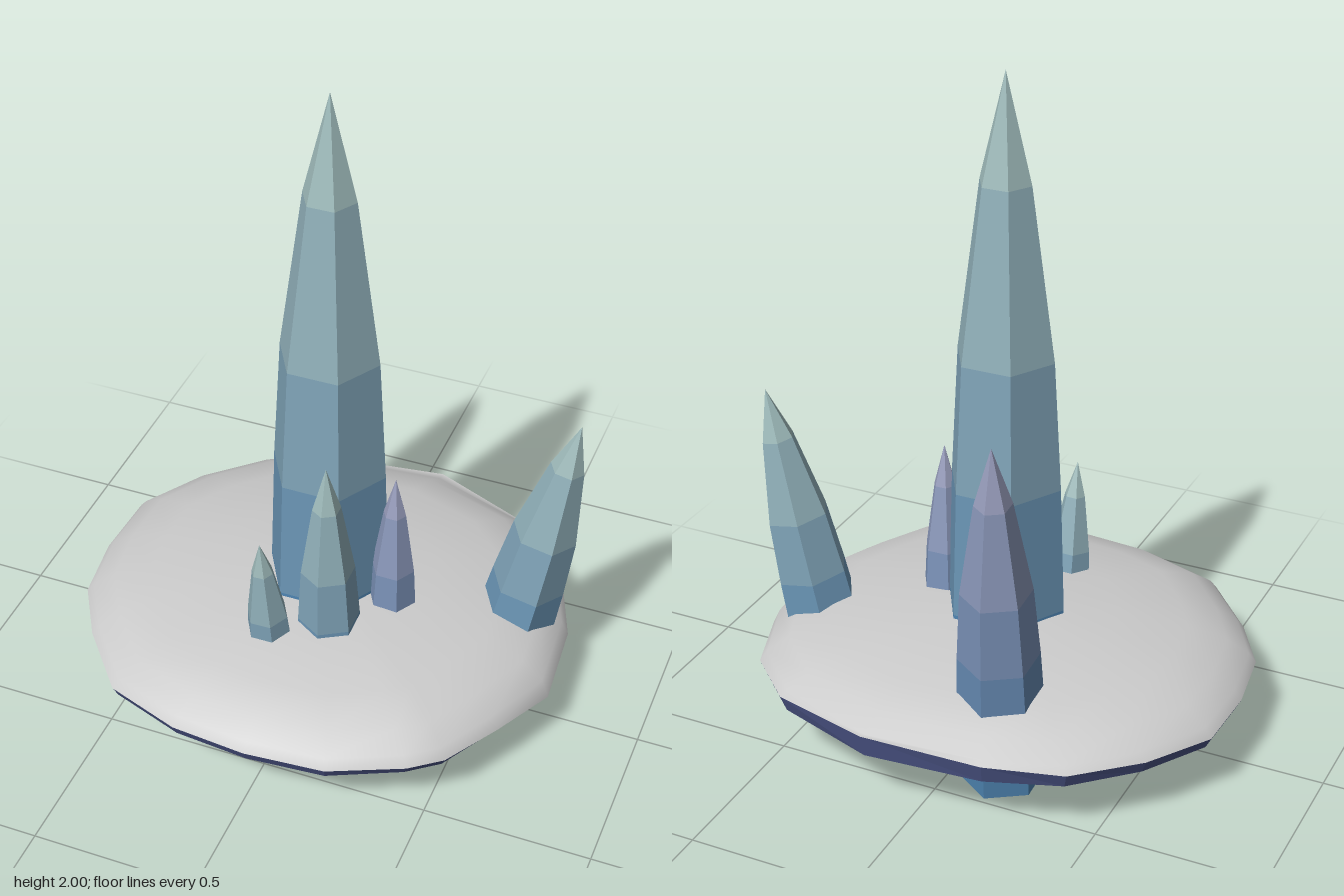
import * as THREE from 'three';

const UP = new THREE.Vector3(0, 1, 0);

// Six-sided crystal from base to tip, in bands that shift in colour with height
function crystal(name, base, tip, radius, turn, low, high) {
  const a = new THREE.Vector3(...base), b = new THREE.Vector3(...tip);
  const axis = b.clone().sub(a), length = axis.length();
  const group = new THREE.Group();
  group.name = name;
  group.position.copy(a);
  group.quaternion.setFromUnitVectors(UP, axis.normalize());
  // [fraction of length, fraction of radius]
  const profile = [[0, 1], [0.18, 0.99], [0.38, 0.92], [0.58, 0.8], [0.84, 0.42], [1, 0]];
  for (let i = 0; i < profile.length - 1; i++) {
    const [t0, r0] = profile[i], [t1, r1] = profile[i + 1];
    const h = (t1 - t0) * length;
    const geo = new THREE.CylinderGeometry(r1 * radius, r0 * radius, h, 6, 1, true, turn);
    geo.translate(0, t0 * length + h / 2, 0);
    const color = new THREE.Color(low).lerp(new THREE.Color(high), i / 4);
    const band = new THREE.Mesh(geo, new THREE.MeshStandardMaterial({ color, flatShading: true }));
    band.name = i === 4 ? 'crystalTip' : 'crystalShaft';
    group.add(band);
  }
  // closed foot
  const foot = new THREE.CircleGeometry(radius, 6, turn - Math.PI / 2);
  foot.rotateX(Math.PI / 2);
  const cap = new THREE.Mesh(foot, new THREE.MeshStandardMaterial({ color: low, flatShading: true }));
  cap.name = 'crystalFoot';
  group.add(cap);
  return group;
}

// Rim of the island: x, z and height of the widest edge
const rim = [
  [0.01, 0.67, 0.215], [0.25, 0.65, 0.215], [0.46, 0.55, 0.21], [0.55, 0.48, 0.21], [0.65, 0.3, 0.2],
  [0.74, 0.1, 0.18], [0.72, -0.17, 0.19], [0.63, -0.4, 0.21], [0.46, -0.57, 0.23], [0.14, -0.68, 0.255],
  [-0.22, -0.65, 0.24], [-0.44, -0.57, 0.225], [-0.61, -0.41, 0.22], [-0.73, -0.22, 0.215], [-0.74, 0, 0.215],
  [-0.71, 0.21, 0.215], [-0.61, 0.38, 0.215], [-0.45, 0.57, 0.215], [-0.22, 0.65, 0.215],
];

// Rings scaled from the rim, joined from the outside to a centre point.
// Each ring is [scale, height, share of the rim height]
function shell(rings, centreY, upward) {
  const n = rim.length, pos = [], index = [];
  const tri = (a, b, c) => (upward ? index.push(a, b, c) : index.push(a, c, b));
  for (const [s, y, k] of rings)
    for (const [x, z, ry] of rim) pos.push(x * s, y * (1 - k) + ry * k, z * s);
  pos.push(0, centreY, 0);
  const last = (rings.length - 1) * n, centre = rings.length * n;
  for (let j = 0; j < n; j++) {
    const k = (j + 1) % n;
    for (let i = 0; i < rings.length - 1; i++) {
      const p = i * n, q = p + n;
      tri(p + j, p + k, q + k);
      tri(p + j, q + k, q + j);
    }
    tri(last + j, last + k, centre);
  }
  const geo = new THREE.BufferGeometry();
  geo.setAttribute('position', new THREE.Float32BufferAttribute(pos, 3));
  geo.setIndex(index);
  geo.computeVertexNormals();
  return geo;
}

export function createModel() {
  const model = new THREE.Group();
  model.name = 'crystalIsland';

  // Smooth domed top
  const top = new THREE.Mesh(
    shell([[1, 0, 1], [0.97, 0.25, 0.2], [0.88, 0.295, 0.1], [0.72, 0.325, 0], [0.45, 0.35, 0], [0.2, 0.365, 0]], 0.368, true),
    new THREE.MeshStandardMaterial({ color: 0xc4c4c4 }));
  top.name = 'islandTop';

  // Faceted dark underside
  const under = new THREE.Mesh(
    shell([[1, 0, 1], [0.975, 0.175, 0.1], [0.89, 0.143, 0], [0.5, 0.14, 0]], 0.14, false),
    new THREE.MeshStandardMaterial({ color: 0x4c5688, flatShading: true }));
  under.name = 'islandUnderside';
  model.add(top, under);

  // Crystals: one spire and the lesser ones around it
  const blue = 0x4f86b4, green = 0xa0bcbc, mauve = 0x9a9fbe, side = Math.PI / 6;
  model.add(
    crystal('mainSpire', [0.01, 0.015, 0], [0.01, 2, 0], 0.19, side, blue, green),
    crystal('backCrystal', [-0.15, 0.025, -0.36], [-0.19, 1.15, -0.515], 0.128, 0, blue, mauve),
    crystal('leftCrystal', [0.52, 0.028, -0.12], [0.71, 0.985, -0.165], 0.122, side, blue, green),
    crystal('smallLeftCrystal', [0.22, 0.015, 0.03], [0.232, 0.81, 0.045], 0.082, side, blue, mauve),
    crystal('frontCrystal', [0.085, 0.02, 0.18], [0.085, 0.935, 0.22], 0.1, 0, blue, green),
    crystal('smallFrontCrystal', [-0.06, 0.018, 0.25], [-0.077, 0.69, 0.325], 0.078, side, blue, green),
  );
  return model;
}
